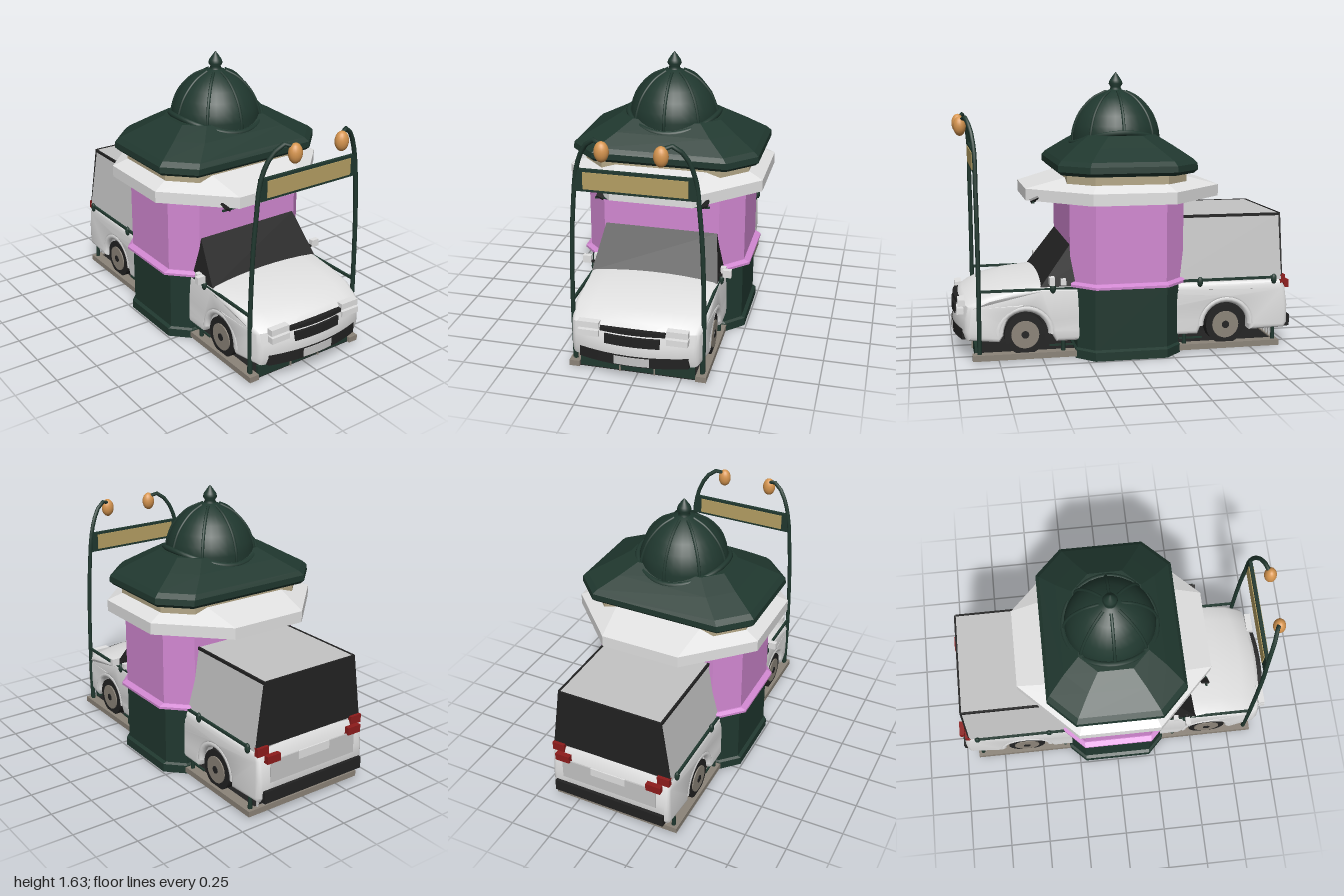
import * as THREE from 'three';
import { toCreasedNormals } from 'three/addons/utils/BufferGeometryUtils.js';

const mat = (name, color) => new THREE.MeshStandardMaterial({ name, color });

export function createModel() {
  const M = {
    white: mat('white paint', 0xe2e2e2), grey: mat('light grey panel', 0xc4c4c4),
    dark: mat('black trim', 0x222222), green: mat('dark green', 0x20382f),
    pink: mat('orchid wall', 0xd288d2), tan: mat('sign ochre', 0xb59f63),
    cream: mat('cream frieze', 0xb5a888), stone: mat('stone grey', 0x8c8479),
    red: mat('tail light red', 0x8e1c1c), amber: mat('amber lamp', 0xd6954f),
  };
  const root = new THREE.Group();
  const add = (name, geo, m, x = 0, y = 0, z = 0) => {
    const mesh = new THREE.Mesh(geo, m);
    mesh.name = name;
    mesh.position.set(x, y, z);
    root.add(mesh);
    return mesh;
  };
  const box = (name, m, w, h, d, x, y, z) => add(name, new THREE.BoxGeometry(w, h, d), m, x, y, z);
  const tube = (name, m, pts, r, closed = false) => add(name, new THREE.TubeGeometry(
    new THREE.CatmullRomCurve3(pts.map(p => new THREE.Vector3(...p)), closed), closed ? 48 : 24, r, 8, closed), m);
  const both = f => [-1, 1].forEach(f);

  // Flat-faced solid through stacked rings, each counter-clockwise from above
  const loft = rings => {
    const v = [], n = rings[0].length, top = rings[rings.length - 1], bot = rings[0];
    for (let i = 0; i + 1 < rings.length; i++) for (let j = 0; j < n; j++) {
      const k = (j + 1) % n, [a, b, c, d] = [rings[i][j], rings[i][k], rings[i + 1][k], rings[i + 1][j]];
      v.push(...a, ...b, ...c, ...a, ...c, ...d);
    }
    for (let j = 1; j + 1 < n; j++) v.push(...top[0], ...top[j], ...top[j + 1], ...bot[0], ...bot[j + 1], ...bot[j]);
    const g = new THREE.BufferGeometry();
    g.setAttribute('position', new THREE.Float32BufferAttribute(v, 3));
    g.computeVertexNormals();
    return g;
  };
  // Octagon with half sizes ax, az and corner cut where |x| + |z| = s
  const oct = (y, ax, az, s) => {
    const e = s - ax, f = s - az;
    return [[ax, -e], [f, -az], [-f, -az], [-ax, -e], [-ax, e], [-f, az], [f, az], [ax, e]].map(([x, z]) => [x, y, z]);
  };
  const rect = (y, hx, z0, z1) => [[hx, y, z0], [-hx, y, z0], [-hx, y, z1], [hx, y, z1]];

  // Platform
  box('platformFloor', M.dark, 0.72, 0.03, 1.78, 0, 0.022, -0.01);
  both(s => box('platformSideRim', M.stone, 0.06, 0.034, 1.82, s * 0.365, 0.027, -0.01));
  box('platformRearRim', M.stone, 0.72, 0.034, 0.03, 0, 0.027, -0.905);
  box('platformFrontPanel', M.green, 0.66, 0.07, 0.02, 0, 0.05, 0.875);
  both(s => box('stepFrameSide', M.stone, 0.008, 0.08, 0.008, s * 0.1, 0.05, 0.888));
  box('stepFrameTop', M.stone, 0.2, 0.008, 0.008, 0, 0.088, 0.888);

  // Kiosk
  add('kioskSkirt', loft([oct(0, 0.49, 0.31, 0.70), oct(0.05, 0.49, 0.31, 0.70), oct(0.06, 0.47, 0.30, 0.68)]), M.green);
  add('kioskBase', loft([oct(0.05, 0.47, 0.30, 0.68), oct(0.42, 0.47, 0.30, 0.68)]), M.green);
  add('kioskLedge', loft([oct(0.418, 0.51, 0.335, 0.72), oct(0.432, 0.51, 0.335, 0.72), oct(0.445, 0.48, 0.335, 0.69)]), M.pink);
  add('kioskWall', loft([oct(0.43, 0.475, 0.335, 0.68), oct(0.93, 0.475, 0.335, 0.68)]), M.pink);
  add('awning', loft([oct(0.905, 0.575, 0.575, 0.813), oct(0.972, 0.575, 0.575, 0.813), oct(1.04, 0.42, 0.33, 0.6)]), M.white);
  add('frieze', loft([oct(0.98, 0.49, 0.35, 0.70), oct(1.075, 0.49, 0.35, 0.70)]), M.cream);
  box('awningBar', M.green, 0.66, 0.01, 0.012, 0, 0.902, 0.54);
  both(s => box('awningBracket', M.dark, 0.045, 0.012, 0.05, s * 0.3, 0.915, 0.53).rotation.set(0.4, 0, s * 0.5));

  // Roof, collar, dome with finial and ribs
  add('roof', loft([oct(1.06, 0.53, 0.385, 0.77), oct(1.08, 0.55, 0.405, 0.80), oct(1.115, 0.548, 0.405, 0.795),
    oct(1.14, 0.52, 0.385, 0.755), oct(1.21, 0.4, 0.29, 0.565), oct(1.27, 0.3, 0.2, 0.4)]), M.green);
  const collar = [];
  for (let i = 0; i < 24; i++) {
    const a = i * Math.PI / 12;
    collar.push([0.27 * Math.cos(a), 1.25 + 0.035 * Math.cos(2 * a), 0.27 * Math.sin(a)]);
  }
  tube('domeCollar', M.green, collar, 0.016, true);
  const dome = [[0.262, 1.18], [0.262, 1.27], [0.25, 1.32], [0.225, 1.38], [0.185, 1.435], [0.13, 1.485], [0.06, 1.52]];
  const finial = [[0.036, 1.53], [0.03, 1.545], [0.042, 1.565], [0.036, 1.585], [0.015, 1.615], [0, 1.635]];
  const lathe = p => new THREE.LatheGeometry(p.map(q => new THREE.Vector2(...q)), 32);
  add('dome', lathe([...dome, finial[0]]), M.green);
  add('finial', lathe(finial), M.green);
  for (let i = 0; i < 8; i++) {
    const a = i * Math.PI / 4;
    tube('domeRib', M.green, dome.map(([r, y]) => [r * Math.sin(a), y, r * Math.cos(a)]), 0.009);
  }

  // Vehicle body: side outline with wheel arches, then rounded at nose, tail and shoulders
  const bend = g => {
    const p = g.attributes.position;
    for (let i = 0; i < p.count; i++) {
      let x = p.getX(i), y = p.getY(i), z = p.getZ(i);
      const q = (x / 0.38) ** 2;
      const end = Math.max(0, (Math.abs(z) - 0.75) / 0.25);
      x *= 1 - (z > 0 ? 0.09 : 0.05) * end * end - 0.9 * Math.max(0, y - 0.28) ** 2;
      if (y > 0.33) y -= 0.02 * q;
      if (z > 0.5) z -= 0.06 * q * (z - 0.5) / 0.5;
      p.setXYZ(i, x, y, z);
    }
    g.computeVertexNormals();
    return g;
  };
  const side = new THREE.Shape();
  side.moveTo(-0.96, 0.11);
  side.lineTo(-0.74, 0.11);
  side.absarc(-0.59, 0.15, 0.15, Math.PI, 0, true);
  side.lineTo(-0.42, 0.1);
  side.lineTo(0.42, 0.1);
  side.lineTo(0.45, 0.15);
  side.absarc(0.6, 0.15, 0.15, Math.PI, 0, true);
  side.lineTo(0.78, 0.11);
  side.lineTo(0.98, 0.12);
  [[1, 0.17], [0.995, 0.25], [0.98, 0.32], [0.94, 0.36], [0.85, 0.395], [0.7, 0.425], [0.5, 0.445], [0, 0.43],
    [-0.94, 0.425], [-0.965, 0.38], [-0.98, 0.25], [-0.98, 0.14]].forEach(q => side.lineTo(...q));
  const bodyGeo = new THREE.ExtrudeGeometry(side, { depth: 0.73, steps: 8, curveSegments: 14,
    bevelSize: 0.025, bevelThickness: 0.025, bevelOffset: -0.025, bevelSegments: 3 });
  bodyGeo.translate(0, 0, -0.365).rotateY(-Math.PI / 2);
  // The outline is inset by the bevel and grown back to its full size
  add('vehicleBody', toCreasedNormals(bend(bodyGeo), 0.6), M.white);
  add('windshield', loft([rect(0.42, 0.375, 0.1, 0.51), rect(0.655, 0.335, 0.1, 0.335)]), M.dark);

  // Nose details follow the curve of the body
  const nose = (name, m, w, h, y, z, d = 0.03) =>
    add(name, bend(new THREE.BoxGeometry(w, h, d, 10, 1, 1).translate(0, y, z)), m);
  nose('upperGrille', M.dark, 0.4, 0.026, 0.322, 0.978);
  nose('lowerGrille', M.dark, 0.34, 0.055, 0.268, 0.986);
  nose('frontBumper', M.dark, 0.68, 0.062, 0.152, 0.985, 0.036);
  nose('frontPlate', M.grey, 0.22, 0.05, 0.152, 1.003, 0.006);
  both(s => {
    box('headlight', M.white, 0.12, 0.036, 0.04, s * 0.25, 0.332, 0.955);
    box('headlight', M.white, 0.12, 0.036, 0.04, s * 0.25, 0.286, 0.962);
    box('mirror', M.white, 0.05, 0.045, 0.03, s * 0.42, 0.465, 0.45);
    box('mirrorArm', M.dark, 0.07, 0.012, 0.015, s * 0.38, 0.45, 0.45);
    box('quarterMirror', M.white, 0.03, 0.035, 0.03, s * 0.385, 0.45, 0.38);
  });

  // Cargo box with black tailgate glass and roof trim
  add('cargoBox', loft([rect(0.41, 0.375, -0.935, -0.2), rect(0.8, 0.315, -0.93, -0.2)]), M.grey);
  add('rearWindow', loft([rect(0.425, 0.372, -0.942, -0.934), rect(0.803, 0.318, -0.94, -0.929)]), M.dark);
  both(s => box('roofTrim', M.dark, 0.012, 0.016, 0.73, s * 0.317, 0.795, -0.565));
  box('tailgatePanel', M.grey, 0.6, 0.13, 0.008, 0, 0.29, -0.981);
  box('rearPlate', M.white, 0.22, 0.05, 0.008, 0, 0.335, -0.986);
  box('rearBumper', M.dark, 0.7, 0.07, 0.06, 0, 0.15, -0.97);
  both(s => {
    box('tailLight', M.red, 0.09, 0.045, 0.03, s * 0.29, 0.372, -0.983);
    box('cornerLight', M.red, 0.075, 0.05, 0.03, s * 0.335, 0.41, -0.945);
  });

  // Wheels with flared arches and dark wells
  const disc = (name, m, r, w, x, z) =>
    add(name, new THREE.CylinderGeometry(r, r, w, 28).rotateZ(Math.PI / 2), m, x, 0.15, z);
  for (const z of [0.6, -0.59]) {
    box('wheelWell', M.dark, 0.6, 0.21, 0.32, 0, 0.195, z);
    both(s => {
      disc('tyre', M.dark, 0.118, 0.1, s * 0.325, z);
      disc('wheelRim', M.stone, 0.08, 0.012, s * 0.376, z);
      disc('wheelHub', M.dark, 0.022, 0.01, s * 0.381, z);
      const arch = new THREE.TorusGeometry(0.155, 0.022, 8, 14, Math.PI).rotateY(Math.PI / 2);
      add('wheelArch', arch, M.white, s * 0.37, 0.15, z);
    });
  }

  // Handrails, knobs, posts and low railings
  both(s => {
    const x = s * 0.385;
    box('frontHandrail', M.green, 0.014, 0.014, 0.6, x * 0.97, 0.408, 0.57);
    box('rearHandrail', M.green, 0.014, 0.014, 0.62, x, 0.425, -0.59);
    for (const z of [0.44, -0.43, -0.885])
      add('railKnob', new THREE.SphereGeometry(0.018, 12, 8).scale(0.8, 1.7, 1), M.green, x, 0.415, z);
    for (const z of [0.86, 0.38, -0.34, -0.89])
      add('railPost', new THREE.CylinderGeometry(0.011, 0.013, 0.09, 8), M.green, s * 0.365, 0.085, z);
    for (const z of [0.39, -0.38]) box('lowRail', M.green, 0.01, 0.01, 0.14, s * 0.36, 0.075, z);
  });
  box('rearLowRail', M.green, 0.7, 0.01, 0.01, 0, 0.1, -0.9);
  for (let i = 0; i < 15; i++) box('rearBaluster', M.grey, 0.012, 0.055, 0.01, (i - 7) * 0.046, 0.07, -0.9);

  // Lamp posts and sign
  both(s => {
    tube('lampPost', M.green, [[0.37, 0.05, 0.86], [0.372, 0.4, 0.86], [0.36, 0.8, 0.862], [0.345, 1.0, 0.865], [0.325, 1.18, 0.866],
      [0.285, 1.3, 0.88], [0.235, 1.365, 0.9], [0.185, 1.385, 0.915], [0.16, 1.365, 0.93]].map(([x, y, z]) => [s * x, y, z]), 0.013);
    add('lamp', new THREE.SphereGeometry(0.04, 20, 14).scale(1, 1.4, 0.9), M.amber, s * 0.157, 1.33, 0.937);
    box('signPanel', M.tan, 0.57, 0.095, 0.006, 0, 1.137, 0.865 + s * 0.012);
  });
  box('signFrame', M.green, 0.66, 0.125, 0.02, 0, 1.137, 0.865);
  return root;
}
